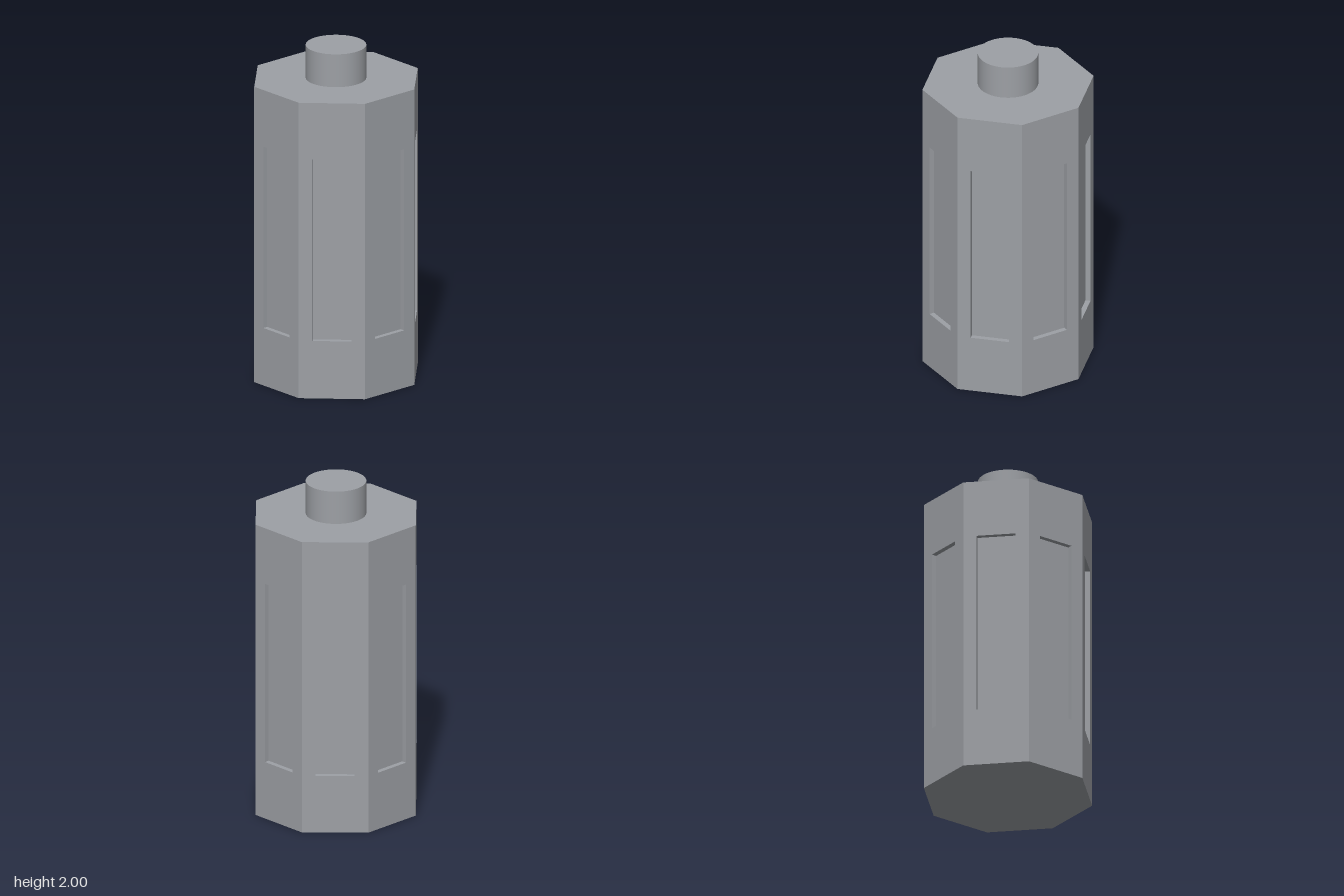
import * as THREE from 'three';
import { mergeGeometries } from 'three/addons/utils/BufferGeometryUtils.js';

const SIDES = 8;
const RADIUS = 0.5;
const HEIGHT = 1.8;
const APOTHEM = RADIUS * Math.cos(Math.PI / SIDES);
const HALF_SIDE = RADIUS * Math.sin(Math.PI / SIDES);
const POCKET = { halfWidth: 0.113, bottom: 0.35, top: 1.455, depth: 0.03 };

// One flat side with a rectangular opening
function sideGeometry() {
  const { halfWidth: w, bottom, top } = POCKET;
  const shape = new THREE.Shape([
    new THREE.Vector2(-HALF_SIDE, 0), new THREE.Vector2(HALF_SIDE, 0),
    new THREE.Vector2(HALF_SIDE, HEIGHT), new THREE.Vector2(-HALF_SIDE, HEIGHT),
  ]);
  shape.holes.push(new THREE.Path([
    new THREE.Vector2(-w, bottom), new THREE.Vector2(-w, top),
    new THREE.Vector2(w, top), new THREE.Vector2(w, bottom),
  ]));
  return new THREE.ShapeGeometry(shape).translate(0, 0, APOTHEM);
}

// Floor and four inward-facing walls of a shallow recess
function pocketGeometry() {
  const { halfWidth: w, bottom, top, depth } = POCKET;
  const h = top - bottom, mid = (top + bottom) / 2, zMid = APOTHEM - depth / 2;
  const plane = (a, b) => new THREE.PlaneGeometry(a, b);
  return mergeGeometries([
    plane(2 * w, h).translate(0, mid, APOTHEM - depth),
    plane(depth, h).rotateY(Math.PI / 2).translate(-w, mid, zMid),
    plane(depth, h).rotateY(-Math.PI / 2).translate(w, mid, zMid),
    plane(2 * w, depth).rotateX(-Math.PI / 2).translate(0, bottom, zMid),
    plane(2 * w, depth).rotateX(Math.PI / 2).translate(0, top, zMid),
  ]);
}

export function createModel() {
  const model = new THREE.Group();
  model.name = 'octagonalBody';
  const grey = new THREE.MeshStandardMaterial({ color: 0x9da0a5 });
  grey.name = 'grey';

  const add = (name, geometry, parent = model) => {
    const mesh = new THREE.Mesh(geometry, grey);
    mesh.name = name;
    parent.add(mesh);
    return mesh;
  };

  // Eight recessed sides
  const side = sideGeometry(), pocket = pocketGeometry();
  for (let i = 0; i < SIDES; i++) {
    const panel = new THREE.Group();
    panel.name = `sidePanel${i + 1}`;
    panel.rotation.y = (i * 2 * Math.PI) / SIDES;
    add('sideFace', side, panel);
    add('sidePocket', pocket, panel);
    model.add(panel);
  }

  // Octagonal end caps
  const cap = () => new THREE.CircleGeometry(RADIUS, SIDES, Math.PI / SIDES);
  add('topCap', cap().rotateX(-Math.PI / 2).translate(0, HEIGHT, 0));
  add('bottomCap', cap().rotateX(Math.PI / 2));

  // Round stub on top
  add('topStub', new THREE.CylinderGeometry(0.175, 0.175, 0.2, 64).translate(0, 1.9, 0));

  return model;
}
